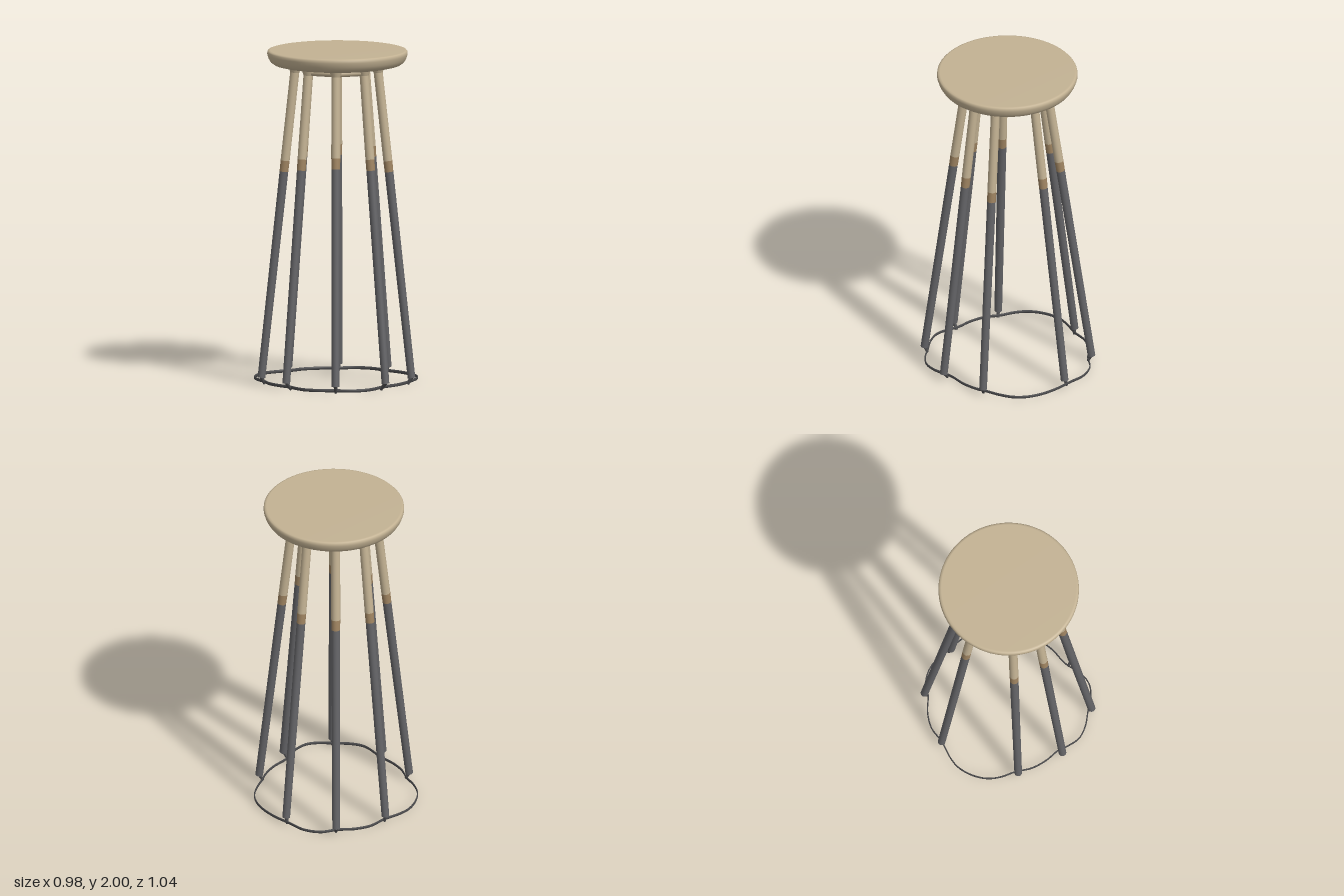
import * as THREE from 'three';

const mat = (name, color, side = THREE.FrontSide) => {
  const m = new THREE.MeshStandardMaterial({ color, side });
  m.name = name;
  return m;
};

const UP = new THREE.Vector3(0, 1, 0);

// round bar between two points
function bar(name, a, b, rBottom, rTop, material, sides = 16) {
  const d = b.clone().sub(a);
  const mesh = new THREE.Mesh(new THREE.CylinderGeometry(rTop, rBottom, d.length(), sides), material);
  mesh.position.copy(a).addScaledVector(d, 0.5);
  mesh.quaternion.setFromUnitVectors(UP, d.normalize());
  mesh.name = name;
  return mesh;
}

export function createModel() {
  const model = new THREE.Group();
  model.name = 'stool';
  const wood = mat('pale wood', 0xc3b293);
  const tan = mat('tan band', 0x9f8461);
  const grey = mat('grey paint', 0x646467);
  const dark = mat('dark wire', 0x4b4b4d);

  // seat: flat top, crisp upper rim, rounded underside
  const profile = [[0, 1.912], [0.32, 1.91], [0.355, 1.911], [0.38, 1.917], [0.398, 1.93],
    [0.41, 1.95], [0.418, 1.975], [0.417, 1.99], [0.411, 1.997], [0.4, 2], [0, 2]]
    .map(([r, y]) => new THREE.Vector2(r, y));
  const seat = new THREE.Mesh(new THREE.LatheGeometry(profile, 72), wood);
  seat.position.x = 0.01;
  seat.name = 'seat';
  model.add(seat);

  // legs: foot x, z, top x, z, band centre height, wire joint x, z
  const legs = [
    [0.008, 0.495, 0.005, 0.245, 1.36, 0.008, 0.477],
    [0.302, 0.35, 0.17, 0.175, 1.34, 0.275, 0.33],
    [0.452, 0.1, 0.25, 0.045, 1.31, 0.43, 0.1],
    [0.302, -0.372, 0.17, -0.175, 1.36, 0.295, -0.385],
    [0.008, -0.503, 0.005, -0.235, 1.36, 0.008, -0.482],
    [-0.288, -0.372, -0.16, -0.175, 1.36, -0.282, -0.37],
    [-0.44, 0.1, -0.24, 0.045, 1.31, -0.42, 0.1],
    [-0.288, 0.35, -0.16, 0.175, 1.34, -0.26, 0.33],
  ];
  const tops = [];
  legs.forEach(([fx, fz, tx, tz, band, jx, jz], i) => {
    const leg = new THREE.Group();
    leg.name = `leg${i + 1}`;
    const foot = new THREE.Vector3(fx, 0.045, fz);
    const top = new THREE.Vector3(tx, 1.9, tz);
    const at = (y) => foot.clone().lerp(top, (y - 0.045) / 1.855);
    leg.add(bar('lowerLeg', foot, at(band - 0.033), 0.023, 0.026, grey));
    leg.add(bar('legBand', at(band - 0.033), at(band + 0.033), 0.026, 0.027, tan));
    leg.add(bar('upperLeg', at(band + 0.033), top, 0.027, 0.027, wood));
    // flared head under the seat
    leg.add(bar('legHead', at(1.87), new THREE.Vector3(tx, 1.914, tz), 0.027, 0.042, wood));
    // small peg joining foot and wire
    leg.add(bar('footPeg', new THREE.Vector3(jx, 0.006, jz), new THREE.Vector3(fx, 0.05, fz), 0.008, 0.012, dark, 8));
    model.add(leg);
    tops.push(new THREE.Vector3(tx, 1.888, tz));
  });

  // rails under the seat joining neighbouring leg heads
  [[7, 0], [0, 1], [2, 3], [3, 4], [4, 5]].forEach(([a, b]) => {
    model.add(bar('seatRail', tops[a], tops[b], 0.02, 0.02, wood, 10));
  });

  // wavy floor wire around the feet, taller than it is thick
  const path = [[0, -0.48], [0.1, -0.503], [0.2, -0.475], [0.29, -0.395], [0.37, -0.325], [0.435, -0.245],
    [0.475, -0.16], [0.484, -0.08], [0.465, 0.005], [0.435, 0.08], [0.415, 0.14], [0.365, 0.225],
    [0.285, 0.31], [0.225, 0.415], [0.165, 0.467], [0.085, 0.483], [0, 0.475], [-0.1, 0.468],
    [-0.18, 0.438], [-0.235, 0.375], [-0.27, 0.32], [-0.335, 0.26], [-0.395, 0.175], [-0.425, 0.085],
    [-0.467, 0], [-0.485, -0.08], [-0.473, -0.17], [-0.43, -0.26], [-0.37, -0.315], [-0.28, -0.37],
    [-0.2, -0.44], [-0.1, -0.474]].map(([x, z]) => new THREE.Vector3(x, 0, z));
  const curve = new THREE.CatmullRomCurve3(path, true);
  const wire = new THREE.Mesh(new THREE.TubeGeometry(curve, 160, 0.004, 8, true), dark);
  wire.scale.y = 2.4;
  wire.position.y = 0.02;
  wire.name = 'floorWire';
  model.add(wire);

  return model;
}
